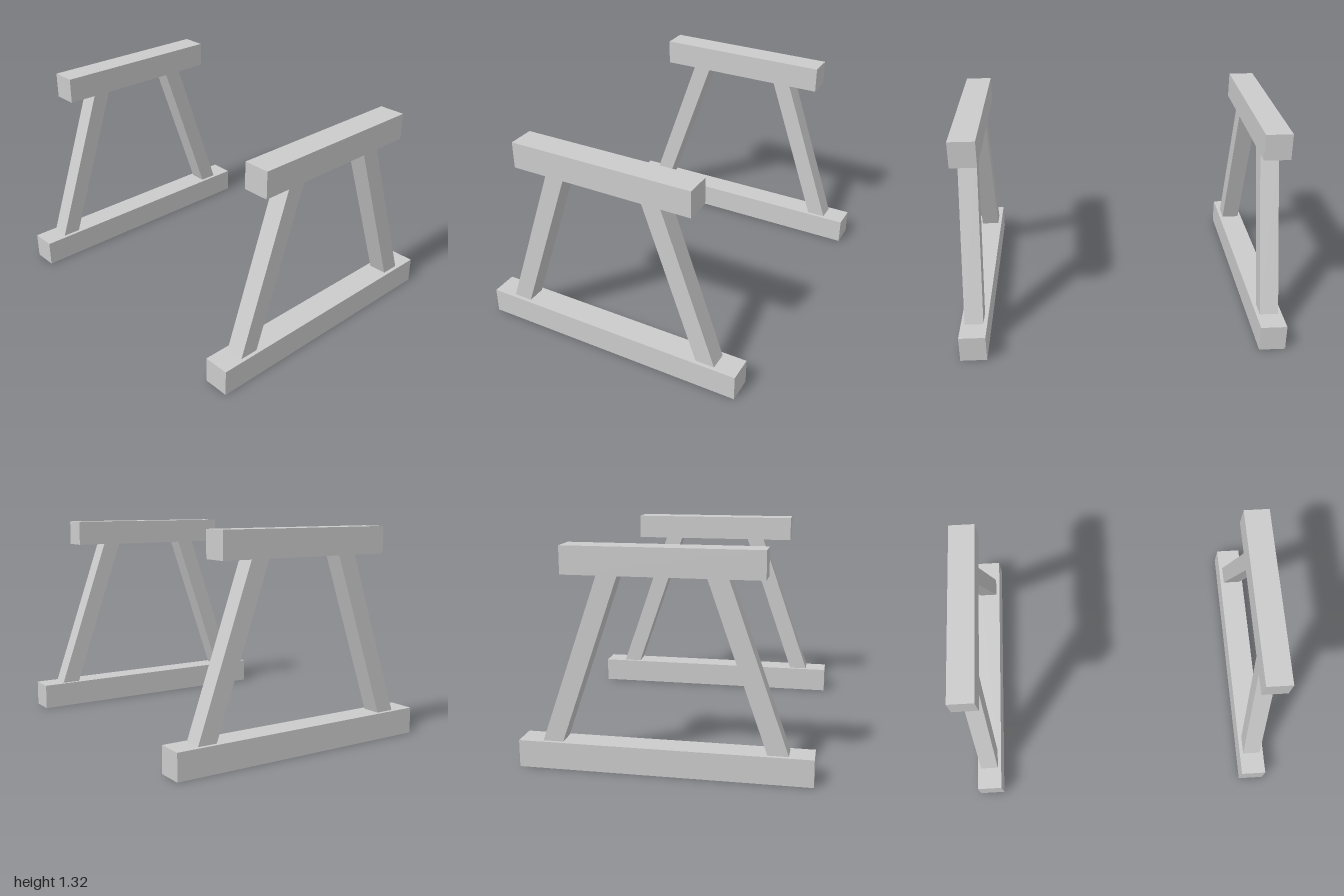
import * as THREE from 'three';

const BEAM = 0.163;         // square beam section
const LEG = 0.116;          // leg depth along z
const LOW = 0.163, HIGH = 1.154; // leg foot and head heights
const Z = 1 - BEAM / 2;     // frame distance from the centre

const material = new THREE.MeshStandardMaterial({ color: 0xcccccc, flatShading: true });

function beam(name, length, y) {
  const mesh = new THREE.Mesh(new THREE.BoxGeometry(length, BEAM, BEAM), material);
  mesh.name = name;
  mesh.position.y = y;
  return mesh;
}

// Slanted leg with level ends, leaning in toward the top
function leg(name, side) {
  const geometry = new THREE.BoxGeometry(0.12, HIGH - LOW, LEG);
  const p = geometry.attributes.position;
  for (let i = 0; i < p.count; i++) {
    p.setX(i, p.getX(i) + side * (p.getY(i) > 0 ? 0.312 : 0.657));
  }
  geometry.computeVertexNormals();
  const mesh = new THREE.Mesh(geometry, material);
  mesh.name = name;
  mesh.position.y = (LOW + HIGH) / 2;
  return mesh;
}

// One trestle: ground beam, two legs, top beam
function trestle(name, z) {
  const group = new THREE.Group();
  group.name = name;
  group.add(
    beam('groundBeam', 1.72, BEAM / 2),
    beam('topBeam', 1.15, HIGH + BEAM / 2),
    leg('leftLeg', 1),
    leg('rightLeg', -1),
  );
  group.position.z = z;
  return group;
}

export function createModel() {
  const model = new THREE.Group();
  model.name = 'trestlePair';
  model.add(trestle('frontTrestle', Z), trestle('backTrestle', -Z));
  return model;
}
